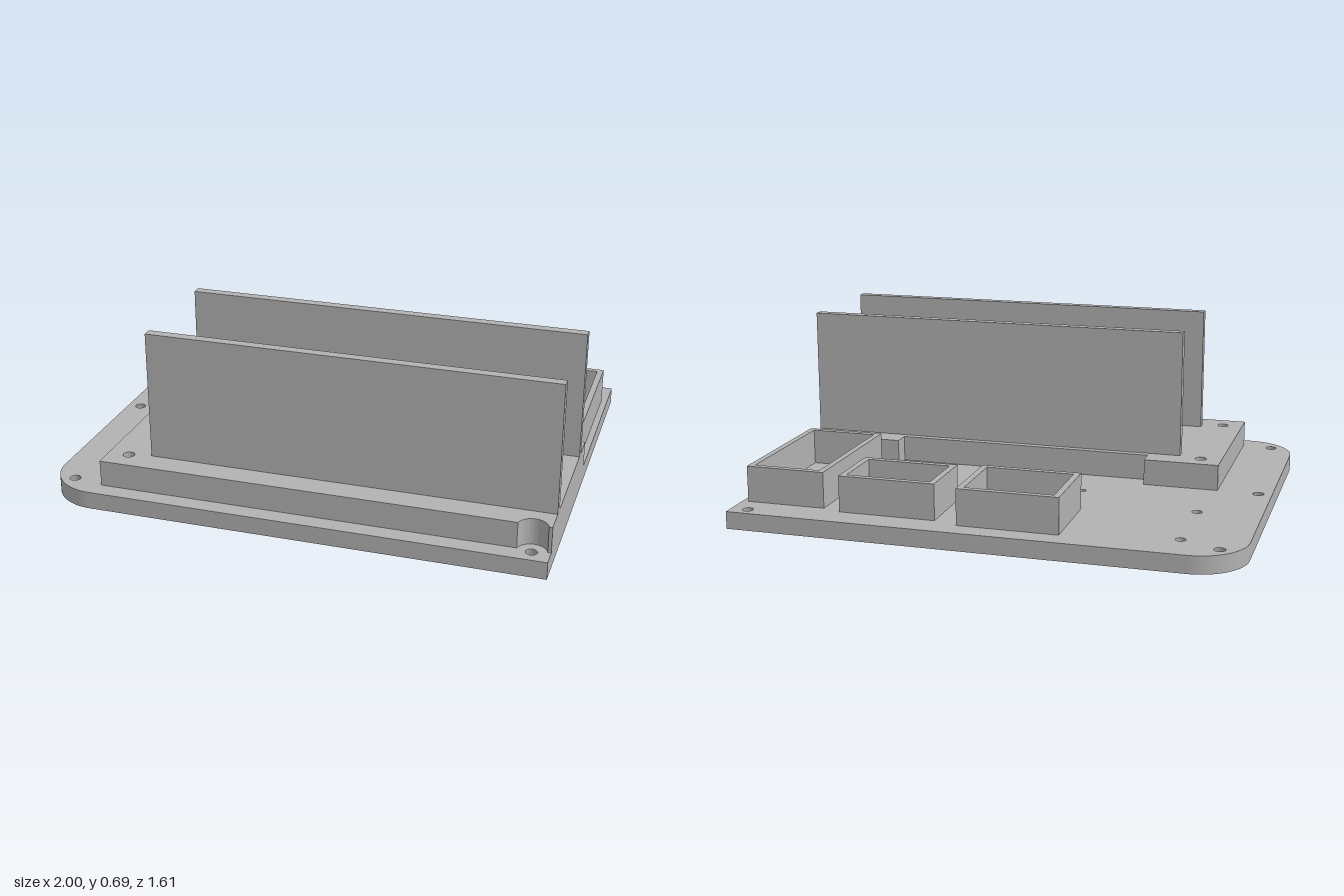
import * as THREE from 'three';
import { toCreasedNormals } from 'three/addons/utils/BufferGeometryUtils.js';

const BASE_TOP = 0.07, DECK_TOP = 0.175, TRAY_TOP = 0.215, WALL_TOP = 0.69;

// Holes as [x, z, radius]
const screwHoles = [
  [-0.905, -0.71, 0.022], [0.93, -0.755, 0.022], [-0.945, 0, 0.022],
  [-0.905, 0.705, 0.022], [0.93, 0.745, 0.022],
];
const plainHoles = [
  [-0.75, -0.64, 0.02], [-0.75, -0.3, 0.02], [-0.255, -0.15, 0.015], [0.375, -0.15, 0.015],
];
const deckHoles = [[-0.695, 0.08, 0.023], [-0.695, 0.645, 0.023]];
const SINK = 0.035; // screw hole radius at the underside

// Plan shapes use (x, -z), so that they lie flat after turning
function punch(shape, holes) {
  for (const [x, z, r] of holes) {
    shape.holes.push(new THREE.Path().absarc(x, -z, r, 0, Math.PI * 2, true));
  }
  return shape;
}

function rectangle(path, x0, x1, z0, z1) {
  return path.moveTo(x0, -z1).lineTo(x1, -z1).lineTo(x1, -z0).lineTo(x0, -z0).closePath();
}

function slab(shape, y0, y1) {
  const geo = new THREE.ExtrudeGeometry(shape, { depth: y1 - y0, bevelEnabled: false, curveSegments: 20 });
  geo.rotateX(-Math.PI / 2).translate(0, y0, 0);
  return toCreasedNormals(geo, 0.6);
}

// Base outline, rounded at the -x corners
function baseShape() {
  const r = 0.2, front = -0.803, back = 0.803;
  const s = new THREE.Shape();
  s.moveTo(1, front).lineTo(1, back).lineTo(-1 + r, back);
  s.absarc(-1 + r, back - r, r, Math.PI / 2, Math.PI, false);
  s.lineTo(-1, front + r);
  s.absarc(-1 + r, front + r, r, Math.PI, Math.PI * 1.5, false);
  s.closePath();
  return s;
}

// Raised deck with a long rear notch and a round screw clearance in front
function deckShape() {
  const s = new THREE.Shape();
  const cx = 0.93, cy = -0.745, r = 0.058, a = Math.asin(0.013 / r);
  s.moveTo(-0.78, -0.732);
  s.lineTo(cx - r * Math.cos(a), -0.732);
  s.absarc(cx, cy, r, Math.PI - a, a, true);
  s.lineTo(1, -0.732).lineTo(1, 0).lineTo(0.595, 0).lineTo(0.595, -0.07);
  s.lineTo(-0.475, -0.07).lineTo(-0.475, 0).lineTo(-0.78, 0).closePath();
  return s;
}

export function createModel() {
  const model = new THREE.Group();
  model.name = 'mountingPlate';
  const grey = new THREE.MeshStandardMaterial({ color: 0xb2b2b2, side: THREE.DoubleSide });
  grey.name = 'grey';

  const add = (name, geo) => {
    const mesh = new THREE.Mesh(geo, grey);
    mesh.name = name;
    model.add(mesh);
    return mesh;
  };

  // Base plate: wide holes below, narrow holes in a thin top skin
  const through = [...plainHoles, ...deckHoles];
  const skin = BASE_TOP - 0.004;
  const wide = screwHoles.map(([x, z]) => [x, z, SINK]);
  add('basePlate', slab(punch(baseShape(), [...wide, ...through]), 0, skin));
  add('baseTop', slab(punch(baseShape(), [...screwHoles, ...through]), skin, BASE_TOP));

  // Tapered screw seats
  for (const [x, z, r] of screwHoles) {
    const seat = new THREE.CylinderGeometry(r, SINK, skin, 32, 1, true);
    add('screwSeat', seat).position.set(x, skin / 2, z);
  }

  // Raised deck
  add('deck', slab(punch(deckShape(), deckHoles), BASE_TOP, DECK_TOP));

  // Two upright walls
  for (const [name, z] of [['rearWall', 0.12], ['frontWall', 0.61]]) {
    const wall = new THREE.BoxGeometry(1.605, WALL_TOP - DECK_TOP, 0.04);
    add(name, wall).position.set(0.1975, (WALL_TOP + DECK_TOP) / 2, z);
  }

  // Open-topped trays: x0, x1, z0, z1
  const trays = [
    [-0.31, 0.09, -0.717, -0.387],
    [0.187, 0.577, -0.685, -0.412],
    [0.652, 0.975, -0.66, -0.053],
  ];
  const t = 0.025;
  for (const [x0, x1, z0, z1] of trays) {
    const s = rectangle(new THREE.Shape(), x0, x1, z0, z1);
    s.holes.push(rectangle(new THREE.Path(), x0 + t, x1 - t, z0 + t, z1 - t));
    add('tray', slab(s, BASE_TOP, TRAY_TOP));
  }

  return model;
}
